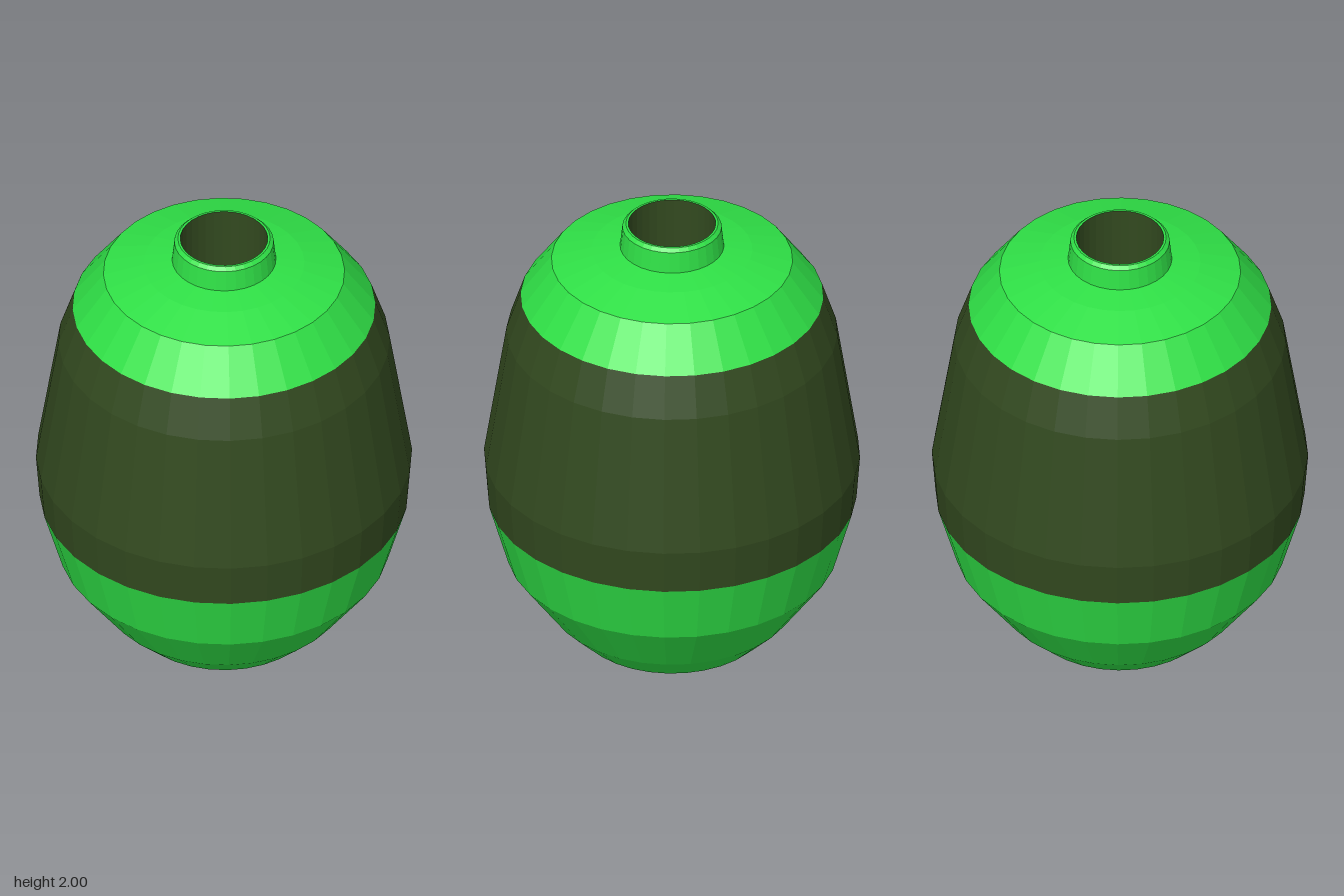
import * as THREE from 'three';

const SIDES = 32;
const green = new THREE.MeshStandardMaterial({ color: 0x2fe046, flatShading: true });
const darkGreen = new THREE.MeshStandardMaterial({ color: 0x32491f, flatShading: true });

// Revolve a profile of [radius, height] pairs, listed from bottom to top on outer faces
function turned(name, profile, material) {
  const points = profile.map(([r, y]) => new THREE.Vector2(r, y));
  const mesh = new THREE.Mesh(new THREE.LatheGeometry(points, SIDES), material);
  mesh.name = name;
  return mesh;
}

export function createModel() {
  const vase = new THREE.Group();
  vase.name = 'vase';
  vase.add(
    // Flat foot and tapering lower body
    turned('lowerBody', [[0, 0], [0.4, 0], [0.52, 0.12], [0.7, 0.37], [0.78, 0.65]], green),
    // Wide dark band around the belly
    turned('bellyBand', [[0.78, 0.65], [0.795, 0.85], [0.7, 1.46], [0.64, 1.64]], darkGreen),
    // Domed shoulder
    turned('shoulder', [[0.64, 1.64], [0.51, 1.82], [0.34, 1.87], [0.22, 1.89]], green),
    // Short neck with a chamfered lip
    turned('neck', [[0.22, 1.89], [0.21, 1.985], [0.195, 2], [0.185, 2]], green),
    // Dark hollow inside the mouth
    turned('mouthInterior', [[0.185, 2], [0.185, 1.7], [0, 1.7]], darkGreen),
  );
  return vase;
}
